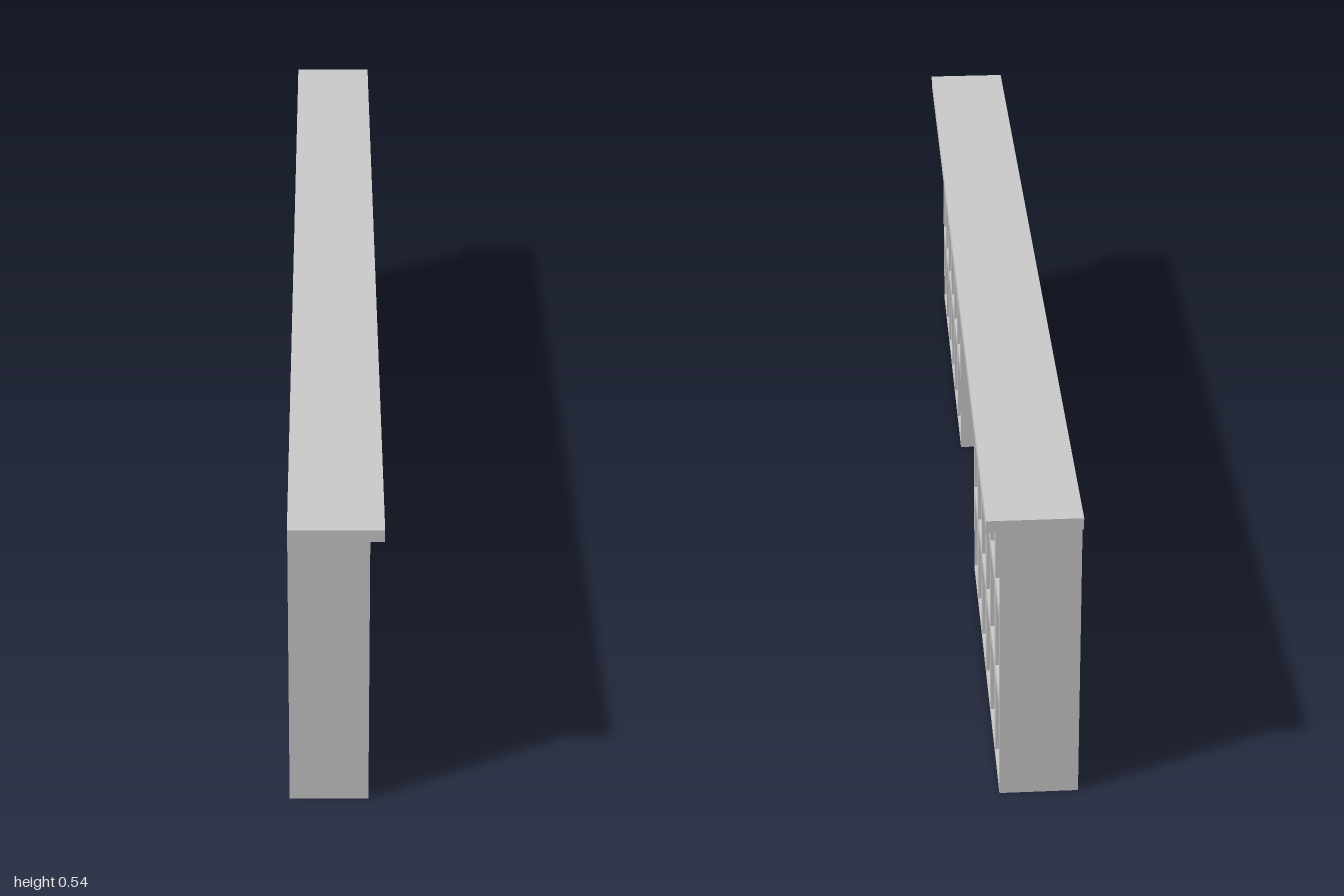
import * as THREE from 'three';

const FRONT = 0.055, BACK = -0.078, HEIGHT = 0.522;
const END = 0.977, BAY = 0.245, BAY_X = -0.014;
const material = new THREE.MeshStandardMaterial({ color: 0xcccccc, side: THREE.DoubleSide, flatShading: true });

function add(parent, name, geometry, x = 0, y = 0, z = 0) {
  const mesh = new THREE.Mesh(geometry, material);
  mesh.name = name;
  mesh.position.set(x, y, z);
  parent.add(mesh);
  return mesh;
}

// Thin sheet facing +x with rectangular holes; rects are [z0, z1, y0, y1]
function sheet([z0, z1, y0, y1], holes) {
  const trace = (path, a, b, c, d) =>
    path.moveTo(-a, c).lineTo(-a, d).lineTo(-b, d).lineTo(-b, c).closePath();
  const shape = trace(new THREE.Shape(), z0, z1, y0, y1);
  for (const h of holes) shape.holes.push(trace(new THREE.Path(), ...h));
  return new THREE.ShapeGeometry(shape).rotateY(Math.PI / 2);
}

// Thin-walled box open towards +x, reaching from x1 back to x0
function openBox(parent, name, [z0, z1, y0, y1], x0, x1) {
  const g = new THREE.BoxGeometry(x1 - x0, y1 - y0, z1 - z0);
  g.setIndex(Array.from(g.index.array).slice(6)); // the first face is +x
  g.clearGroups();
  add(parent, name, g, (x0 + x1) / 2, (y0 + y1) / 2, (z0 + z1) / 2);
}

// Upright sheet across the depth at a given z
function crossPanel(parent, name, x0, x1, z) {
  add(parent, name, new THREE.PlaneGeometry(x1 - x0, HEIGHT), (x0 + x1) / 2, HEIGHT / 2, z);
}

export function createModel() {
  const model = new THREE.Group();
  model.name = 'cubbyCounter';

  // Counter top overhanging the front
  add(model, 'counterTop', new THREE.BoxGeometry(0.156, 0.021, 2), 0, HEIGHT + 0.0105, 0);

  // Two banks of 6 x 3 cubbies
  for (const side of [1, -1]) {
    const bank = new THREE.Group();
    bank.name = side > 0 ? 'leftBank' : 'rightBank';
    model.add(bank);

    const span = (a, b) => (side > 0 ? [a, b] : [-b, -a]);
    const cells = [];
    for (let row = 0; row < 3; row++) {
      for (let col = 0; col < 6; col++) {
        const z = 0.257 + col * 0.1225, y = 0.014 + row * 0.172;
        cells.push([...span(z, z + 0.1), y, y + 0.152]);
      }
    }
    add(bank, 'faceFrame', sheet([...span(BAY, END), 0, HEIGHT], cells), FRONT);
    cells.forEach((cell) => openBox(bank, 'cubby', cell, -0.05, FRONT));

    crossPanel(bank, 'endPanel', BACK, FRONT, side * END);
    crossPanel(bank, 'bayWall', BAY_X, FRONT, side * BAY);
  }

  // Recessed centre bay with a shallow sunk panel
  const opening = [-0.213, 0.213, 0.035, 0.487];
  const bay = new THREE.Group();
  bay.name = 'centreBay';
  model.add(bay);
  add(bay, 'bayFrame', sheet([-BAY, BAY, 0, HEIGHT], [opening]), BAY_X);
  openBox(bay, 'sunkPanel', opening, -0.032, BAY_X);

  return model;
}
